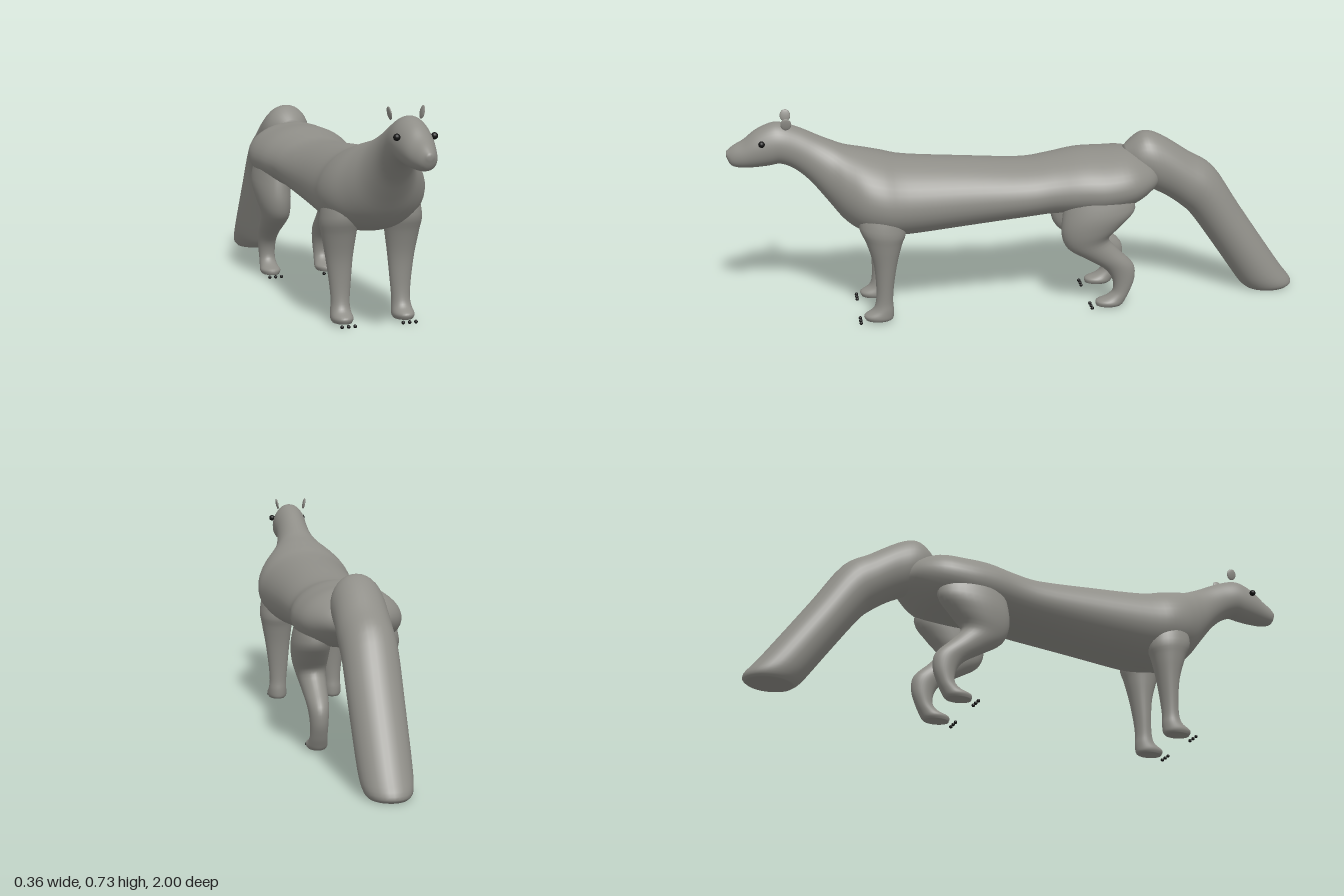
import * as THREE from 'three';

const fur = new THREE.MeshStandardMaterial({ color: 0x8f8e88 });
fur.name = 'greyFur';
const black = new THREE.MeshStandardMaterial({ color: 0x141414 });
black.name = 'black';

const catmull = (a, b, c, d, t) =>
  0.5 * (2 * b + (c - a) * t + (2 * a - 5 * b + 4 * c - d) * t * t + (3 * b - a - 3 * c + d) * t * t * t);

// Loft of closed rings. Each station: [centre x, half width, y1, z1, y2, z2],
// where 1 and 2 are opposite edge points of the side profile.
// pear > 0 makes the ring narrower towards edge 1.
function loft(name, stations, { side = 1, pear = 0, seg = 32, sub = 4 } = {}) {
  const last = stations.length - 1;
  const at = (i) => stations[Math.min(last, Math.max(0, i))];
  const pos = [], idx = [];
  const rows = last * sub + 1;
  for (let r = 0; r < rows; r++) {
    const i = Math.min(last - 1, Math.floor(r / sub)), t = r / sub - i;
    const [cx, w, y1, z1, y2, z2] = at(i).map((_, k) =>
      catmull(at(i - 1)[k], at(i)[k], at(i + 1)[k], at(i + 2)[k], t));
    for (let s = 0; s < seg; s++) {
      const f = (s / seg) * Math.PI * 2, c = Math.cos(f), u = Math.sin(f);
      pos.push(cx * side + w * c * (1 - pear * u),
        (y1 + y2) / 2 + u * (y1 - y2) / 2, (z1 + z2) / 2 + u * (z1 - z2) / 2);
    }
  }
  for (let r = 0; r < rows - 1; r++) {
    for (let s = 0; s < seg; s++) {
      const p = r * seg + s, q = r * seg + (s + 1) % seg;
      idx.push(p, p + seg, q, q, p + seg, q + seg);
    }
  }
  // end caps
  const first = at(0), end = at(last), base = (rows - 1) * seg, n = rows * seg;
  for (const e of [first, end]) pos.push(e[0] * side, (e[2] + e[4]) / 2, (e[3] + e[5]) / 2);
  for (let s = 0; s < seg; s++) {
    const s2 = (s + 1) % seg;
    idx.push(n, s, s2, n + 1, base + s2, base + s);
  }
  const geo = new THREE.BufferGeometry();
  geo.setAttribute('position', new THREE.Float32BufferAttribute(pos, 3));
  geo.setIndex(idx);
  geo.computeVertexNormals();
  const mesh = new THREE.Mesh(geo, fur);
  mesh.name = name;
  return mesh;
}

function ball(name, r, x, y, z, mat) {
  const mesh = new THREE.Mesh(new THREE.SphereGeometry(r, 16, 12), mat);
  mesh.name = name;
  mesh.position.set(x, y, z);
  return mesh;
}

// Head, neck and trunk, from nose to rump (top edge, bottom edge)
const BODY = [
  [0, 0.010, 0.615, 1.00, 0.598, 1.00],
  [0, 0.028, 0.635, 0.975, 0.567, 0.985],
  [0, 0.043, 0.654, 0.94, 0.557, 0.95],
  [0, 0.054, 0.685, 0.90, 0.557, 0.90],
  [0, 0.060, 0.707, 0.85, 0.561, 0.855],
  [0, 0.061, 0.707, 0.81, 0.565, 0.82],
  [0, 0.060, 0.685, 0.75, 0.545, 0.775],
  [0, 0.068, 0.655, 0.69, 0.50, 0.725],
  [0, 0.090, 0.632, 0.64, 0.43, 0.67],
  [0, 0.125, 0.615, 0.60, 0.36, 0.615],
  [0, 0.162, 0.600, 0.54, 0.32, 0.56],
  [0, 0.176, 0.585, 0.48, 0.30, 0.49],
  [0, 0.168, 0.567, 0.40, 0.297, 0.40],
  [0, 0.155, 0.550, 0.20, 0.315, 0.20],
  [0, 0.150, 0.535, 0.00, 0.335, 0.00],
  [0, 0.155, 0.545, -0.10, 0.345, -0.10],
  [0, 0.173, 0.560, -0.20, 0.345, -0.19],
  [0, 0.180, 0.560, -0.29, 0.345, -0.28],
  [0, 0.163, 0.558, -0.37, 0.365, -0.385],
  [0, 0.110, 0.530, -0.44, 0.41, -0.46],
  [0, 0.050, 0.500, -0.48, 0.44, -0.49],
];

// Tail, from its domed root to the flat end on the ground
const TAIL = [
  [0, 0.035, 0.560, -0.362, 0.50, -0.37],
  [0, 0.073, 0.595, -0.40, 0.44, -0.41],
  [0, 0.087, 0.614, -0.44, 0.405, -0.465],
  [0, 0.088, 0.595, -0.50, 0.375, -0.52],
  [0, 0.090, 0.530, -0.60, 0.335, -0.575],
  [0, 0.090, 0.470, -0.69, 0.290, -0.62],
  [0, 0.088, 0.320, -0.79, 0.170, -0.705],
  [0, 0.084, 0.100, -0.94, 0.060, -0.78],
  [0, 0.076, 0.025, -0.995, 0.022, -0.808],
  [0, 0.062, 0.003, -0.985, 0.003, -0.83],
];

// Legs, from inside the body down to the sole (back edge, front edge)
const FRONT_LEG = [
  [0.100, 0.050, 0.45, 0.42, 0.45, 0.56],
  [0.108, 0.062, 0.34, 0.41, 0.36, 0.57],
  [0.108, 0.056, 0.29, 0.425, 0.30, 0.548],
  [0.106, 0.045, 0.22, 0.443, 0.22, 0.525],
  [0.104, 0.036, 0.14, 0.456, 0.14, 0.518],
  [0.104, 0.031, 0.08, 0.461, 0.08, 0.520],
  [0.105, 0.033, 0.045, 0.459, 0.050, 0.532],
  [0.105, 0.036, 0.018, 0.461, 0.030, 0.562],
  [0.105, 0.030, 0.010, 0.468, 0.012, 0.556],
];
const HIND_LEG = [
  [0.100, 0.055, 0.47, -0.36, 0.47, -0.15],
  [0.115, 0.064, 0.38, -0.385, 0.36, -0.13],
  [0.115, 0.060, 0.32, -0.34, 0.29, -0.127],
  [0.110, 0.050, 0.27, -0.295, 0.235, -0.15],
  [0.107, 0.043, 0.225, -0.325, 0.195, -0.21],
  [0.105, 0.036, 0.165, -0.383, 0.155, -0.275],
  [0.105, 0.031, 0.110, -0.390, 0.115, -0.308],
  [0.105, 0.029, 0.060, -0.373, 0.070, -0.315],
  [0.105, 0.032, 0.030, -0.358, 0.045, -0.293],
  [0.105, 0.036, 0.016, -0.350, 0.030, -0.255],
  [0.105, 0.030, 0.010, -0.343, 0.012, -0.255],
];

export function createModel() {
  const model = new THREE.Group();
  model.name = 'animal';
  model.add(loft('body', BODY, { pear: 0.08, seg: 40 }), loft('tail', TAIL));

  for (const side of [1, -1]) {
    const label = side > 0 ? 'left' : 'right';
    model.add(loft(label + 'FrontLeg', FRONT_LEG, { side }));
    model.add(loft(label + 'HindLeg', HIND_LEG, { side }));
    model.add(ball(label + 'Eye', 0.011, side * 0.06, 0.652, 0.88, black));

    // Thin ear, leaning outwards
    const ear = ball(label + 'Ear', 1, side * 0.053, 0.715, 0.797, fur);
    ear.scale.set(0.0045, 0.021, 0.018);
    ear.rotation.z = -side * 0.2;
    model.add(ear);

    // Three claws in front of each paw
    for (const [paw, z] of [['Front', 0.575], ['Hind', -0.237]]) {
      for (const x of [0.082, 0.104, 0.126]) {
        model.add(ball(label + paw + 'Claw', 0.006, side * x, 0.009, z, black));
      }
    }
  }
  return model;
}
